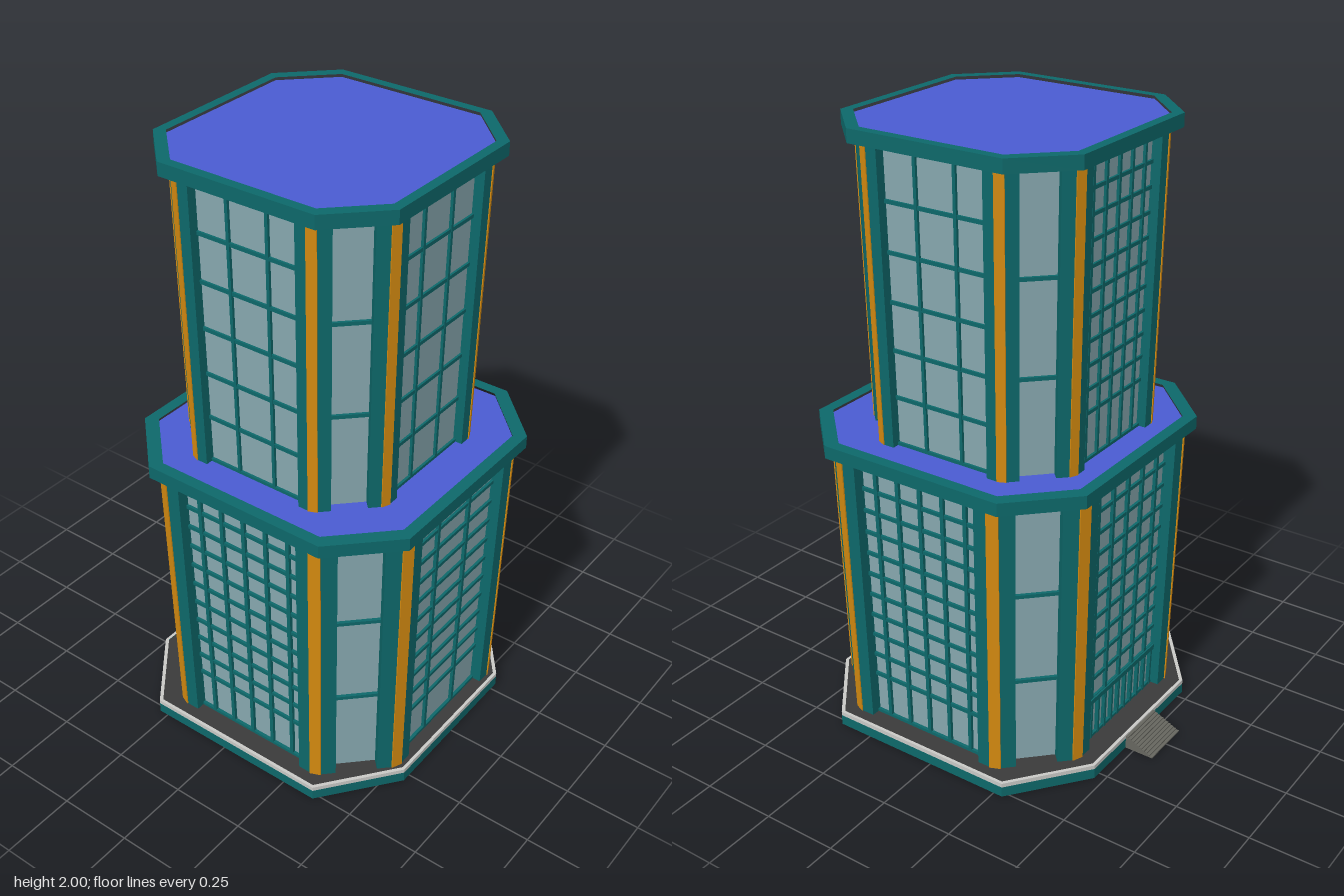
import * as THREE from 'three';
import { mergeGeometries } from 'three/addons/utils/BufferGeometryUtils.js';

const mat = (name, color, side = THREE.FrontSide) => {
  const m = new THREE.MeshStandardMaterial({ color, side });
  m.name = name;
  return m;
};

export function createModel() {
  const teal = mat('teal frame', 0x0d686a);
  const glass = mat('grey glass', 0x87a8af, THREE.DoubleSide);
  const orange = mat('orange stripe', 0xd48a10);
  const blue = mat('blue roof', 0x4a5bd2, THREE.DoubleSide);
  const dark = mat('dark floor', 0x3a3a3a);
  const stone = mat('grey step', 0x66665f);
  const pale = mat('pale rim', 0xc9c9c6);

  const model = new THREE.Group();
  model.name = 'officeTower';

  const add = (parent, name, geos, material) => {
    const flat = geos.map((g) => (g.index ? g.toNonIndexed() : g));
    const geo = mergeGeometries(flat);
    geo.computeVertexNormals();
    const mesh = new THREE.Mesh(geo, material);
    mesh.name = name;
    parent.add(mesh);
    return mesh;
  };

  // Extrudes an [x, z] outline upward from y0 to y1, with an optional hole
  const prism = (pts, y0, y1, hole) => {
    const toV = (p) => p.map(([x, z]) => new THREE.Vector2(x, -z));
    const shape = new THREE.Shape(toV(pts));
    if (hole) shape.holes.push(new THREE.Path(toV(hole)));
    return new THREE.ExtrudeGeometry(shape, { depth: y1 - y0, bevelEnabled: false })
      .rotateX(-Math.PI / 2).translate(0, y0, 0);
  };

  // Eight-sided outline: half sizes hx, hz and half flat lengths fx, fz
  const oct = (hx, hz, fx, fz) => [
    [hx, -fz], [hx, fz], [fx, hz], [-fx, hz], [-hx, fz], [-hx, -fz], [-fx, -hz], [fx, -hz],
  ];
  const scaled = (pts, s) => pts.map(([x, z]) => [x * s, z * s]);

  // Base: dark floor ring, teal skirt and pale rim
  const base = new THREE.Group();
  base.name = 'base';
  base.position.x = 0.043;
  model.add(base);
  const outline = oct(0.513, 0.52, 0.325, 0.28);
  add(base, 'floorRing', [prism(scaled(outline, 0.985), 0, 0.045, scaled(outline, 0.64))], dark);
  add(base, 'skirt', [prism(outline, 0.001, 0.036, scaled(outline, 0.98))], teal);
  add(base, 'rim', [prism(outline, 0.036, 0.05, scaled(outline, 0.98))], pale);

  // Entrance steps
  const steps = [];
  for (let i = 0; i < 10; i++) {
    const h = 0.0045 * (i + 1);
    steps.push(new THREE.BoxGeometry(0.01, h, 0.173).translate(-0.565 + i * 0.01, h / 2, -0.004));
  }
  add(model, 'entranceSteps', steps, stone);

  // Pilaster between a main wall and a corner wall, and its stripe
  const pilaster = [[0.225, 0.49], [0.27, 0.49], [0.305, 0.475], [0.3405, 0.4395],
    [0.312, 0.411], [0.273, 0.445], [0.225, 0.445]];
  const stripe = [[0.27, 0.488], [0.2715, 0.4935], [0.3065, 0.4785], [0.305, 0.473]];
  const WALL = 0.45, CORNER = 0.511;

  const tower = (name, cx, scale, y0, y1, faces, rows, cornerRows) => {
    const group = new THREE.Group();
    group.name = name;
    group.position.x = cx;
    model.add(group);
    const mid = (y0 + y1) / 2, tall = y1 - y0;

    // Walls lean outward toward the top
    const taper = (g) => {
      const p = g.attributes.position;
      for (let i = 0; i < p.count; i++) {
        const s = scale * (0.957 + 0.043 * (p.getY(i) - y0) / tall);
        p.setXYZ(i, p.getX(i) * s, p.getY(i), p.getZ(i) * s);
      }
      return g;
    };

    const posts = [], stripes = [], panes = [], bars = [];
    const bar = (w, h, x, y, dist, angle, depth = 0.022) => bars.push(taper(
      new THREE.BoxGeometry(w, h, depth).translate(x, y, dist).rotateY(angle)));

    for (let k = 0; k < 4; k++) {
      const angle = k * Math.PI / 2, diag = angle + Math.PI / 4;
      for (const m of [1, -1]) {
        const flip = (pts) => pts.map(([x, z]) => [x * m, z]);
        posts.push(taper(prism(flip(pilaster), y0, y1).rotateY(angle)));
        stripes.push(taper(prism(flip(stripe), y0, y1).rotateY(angle)));
      }

      // Main wall glazing
      const { columns, rowSet, door } = faces[k];
      panes.push(taper(new THREE.PlaneGeometry(0.546, tall).translate(0, mid, WALL).rotateY(angle)));
      for (const x of columns) bar(0.013, tall, x, mid, WALL, angle);
      for (const y of rows[rowSet]) bar(0.452, 0.012, 0, y, WALL, angle, 0.018);
      bar(0.452, 0.018, 0, y1 - 0.009, WALL, angle);
      bar(0.452, 0.01, 0, y0 + 0.005, WALL, angle);
      if (door) {
        for (let i = -5; i <= 5; i++) bar(0.01, 0.146, i * 0.0425, y0 + 0.073, WALL, angle, 0.026);
        bar(0.452, 0.018, 0, y0 + 0.146, WALL, angle, 0.03);
      }

      // Corner wall glazing
      panes.push(taper(new THREE.PlaneGeometry(0.25, tall).translate(0, mid, CORNER).rotateY(diag)));
      for (const y of cornerRows) bar(0.142, 0.012, 0, y, CORNER, diag);
      bar(0.142, 0.018, 0, y1 - 0.009, CORNER, diag);
    }
    add(group, 'pilasters', posts, teal);
    add(group, 'stripes', stripes, orange);
    add(group, 'windows', panes, glass);
    add(group, 'windowBars', bars, teal);

    // Cornice ring and sunken roof
    const c = scaled(oct(0.508, 0.508, 0.322, 0.322), scale === 1 ? 1 : 0.831);
    add(group, 'cornice', [prism(c, y1 - 0.003, y1 + 0.04, scaled(c, 0.925))], teal);
    add(group, 'roof', [prism(scaled(c, 0.93), y1 + 0.002, y1 + 0.03)], blue);
  };

  const series = (start, step, n) => Array.from({ length: n }, (_, i) => start + i * step);
  const wide = [-0.085, 0.085], dense = [-0.17, -0.085, 0, 0.085, 0.17];

  // Faces in the order front, left, back, right
  tower('lowerTower', 0.06, 1, 0.045, 0.985, [
    { columns: dense, rowSet: 0 }, { columns: wide, rowSet: 0 },
    { columns: dense, rowSet: 0 }, { columns: dense, rowSet: 0, door: true },
  ], [series(0.196, 0.0765, 10)], [0.35, 0.66]);

  tower('upperTower', 0.038, 0.816, 1.015, 1.96, [
    { columns: wide, rowSet: 0 }, { columns: wide, rowSet: 0 },
    { columns: wide, rowSet: 0 }, { columns: dense, rowSet: 1 },
  ], [series(1.175, 0.154, 5), series(1.175, 0.077, 10)], [1.33, 1.635]);

  return model;
}
